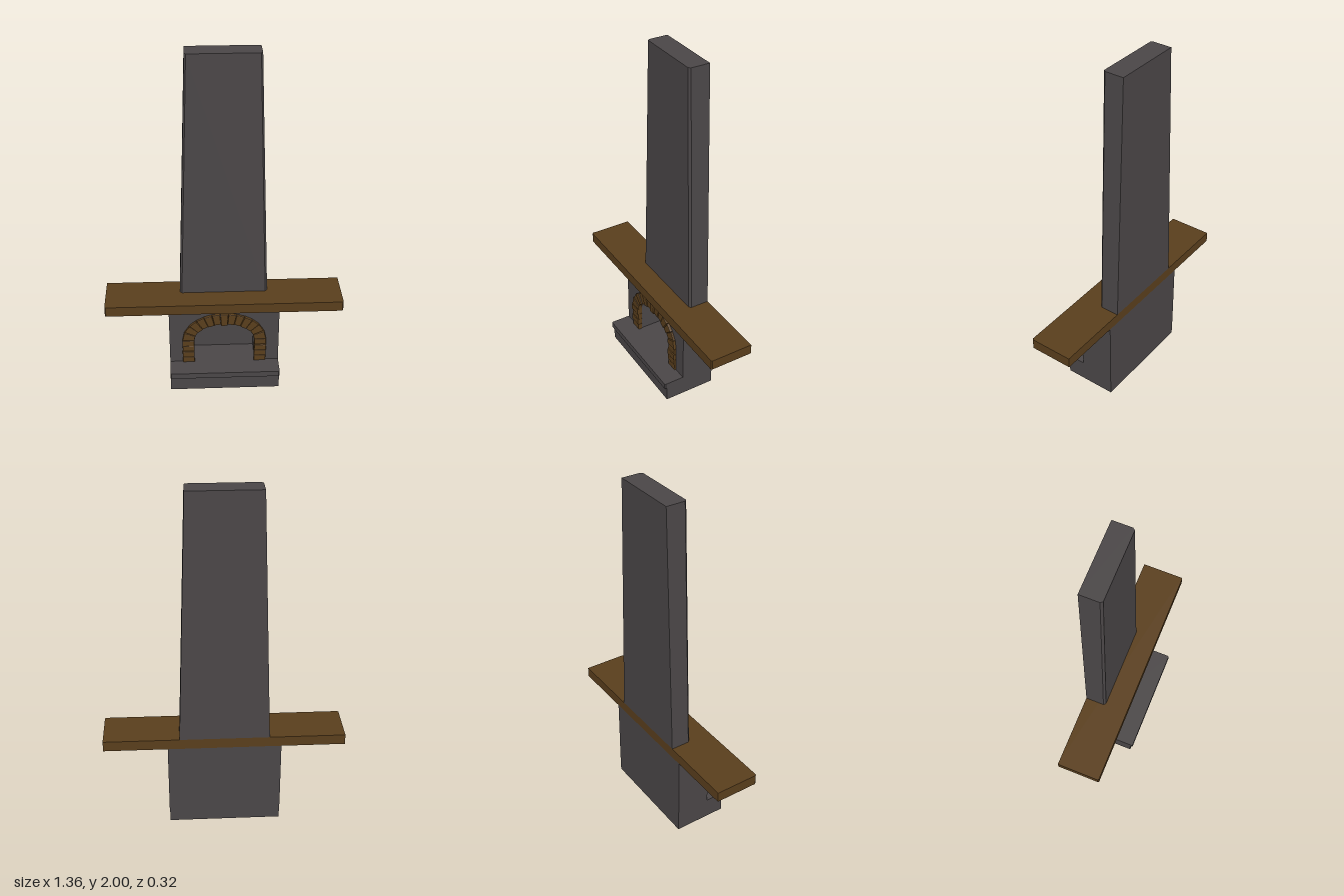
import * as THREE from 'three';

const stone = new THREE.MeshStandardMaterial({ color: 0x4a4647, flatShading: true });
const wood = new THREE.MeshStandardMaterial({ color: 0x593e1c, flatShading: true });
const brick = new THREE.MeshStandardMaterial({ color: 0x593e1c, flatShading: true });

const BACK = -0.16, FACE = 0.04, HEARTH = 0.125;
const SPRING = 0.285, RX = 0.21, RY = 0.145; // centreline of the brick arch

function addMesh(group, name, geometry, material) {
  const mesh = new THREE.Mesh(geometry, material);
  mesh.name = name;
  group.add(mesh);
}

// Slab with chamfered front corners; topScale narrows its upper end in x
function slab(halfWidth, front, y0, y1, chamfer = 0, topScale = 1) {
  const plan = new THREE.Shape();
  plan.moveTo(-halfWidth, -BACK);
  plan.lineTo(-halfWidth, -front + chamfer);
  if (chamfer) plan.lineTo(-halfWidth + chamfer, -front);
  if (chamfer) plan.lineTo(halfWidth - chamfer, -front);
  plan.lineTo(halfWidth, -front + chamfer);
  plan.lineTo(halfWidth, -BACK);
  const geometry = new THREE.ExtrudeGeometry(plan, { depth: y1 - y0, bevelEnabled: false });
  geometry.rotateX(-Math.PI / 2).translate(0, y0, 0);
  const p = geometry.attributes.position;
  for (let i = 0; i < p.count; i++) {
    if (p.getY(i) > (y0 + y1) / 2) p.setX(i, p.getX(i) * topScale);
  }
  geometry.computeVertexNormals();
  return geometry;
}

// Front wall with the arched fire opening cut from its lower edge
function firebox(depth) {
  const wall = new THREE.Shape();
  wall.moveTo(-0.32, HEARTH);
  wall.lineTo(-0.18, HEARTH);
  wall.lineTo(-0.18, SPRING);
  wall.absellipse(0, SPRING, 0.18, 0.115, Math.PI, 0, true);
  wall.lineTo(0.18, HEARTH);
  wall.lineTo(0.32, HEARTH);
  wall.lineTo(0.32, 0.5);
  wall.lineTo(-0.32, 0.5);
  return new THREE.ExtrudeGeometry(wall, { depth, bevelEnabled: false, curveSegments: 16 })
    .translate(0, 0, FACE - depth);
}

// One bevelled brick between two joints, each joint having a point and an outward normal
function brickGeometry(a, b, inner, outer, front) {
  const gap = 0.004, bevel = 0.005;
  const at = (j, k, r) => {
    const p = j.point.clone().addScaledVector(j.normal, r);
    const q = k.point.clone().addScaledVector(k.normal, r);
    return p.lerp(q, gap / p.distanceTo(q) + 0.04);
  };
  const shape = new THREE.Shape([
    at(a, b, inner + bevel), at(a, b, outer - bevel),
    at(b, a, outer - bevel), at(b, a, inner + bevel),
  ]);
  const start = 0.025;
  return new THREE.ExtrudeGeometry(shape, {
    depth: front - start - bevel * 2, bevelSize: bevel, bevelThickness: bevel, bevelSegments: 2,
  }).translate(0, 0, start + bevel);
}

function brickArch() {
  const group = new THREE.Group();
  group.name = 'brickArch';
  const legs = 4, arcs = 13, joints = [];

  // Joints up the right leg, over the arch and down the left leg
  for (let i = 0; i < legs; i++) {
    joints.push({
      point: new THREE.Vector2(RX, HEARTH + (SPRING - HEARTH) * i / legs),
      normal: new THREE.Vector2(1, 0),
    });
  }
  const curve = new THREE.EllipseCurve(0, SPRING, RX, RY, 0, Math.PI);
  for (const point of curve.getSpacedPoints(arcs)) {
    const normal = new THREE.Vector2(point.x / RX ** 2, (point.y - SPRING) / RY ** 2).normalize();
    joints.push({ point, normal });
  }
  for (let i = legs - 1; i >= 0; i--) {
    joints.push({
      point: new THREE.Vector2(-RX, joints[i].point.y),
      normal: new THREE.Vector2(-1, 0),
    });
  }

  // Bricks with slightly uneven faces and a larger keystone
  const count = joints.length - 1;
  for (let i = 0; i < count; i++) {
    const key = i === (count - 1) / 2;
    const uneven = ((i * 7) % 5) / 5;
    const outer = key ? 0.04 : 0.034 + 0.002 * uneven;
    const front = key ? 0.062 : 0.052 + 0.008 * uneven;
    addMesh(group, key ? 'keystone' : 'archBrick',
      brickGeometry(joints[i], joints[i + 1], key ? -0.04 : -0.035, outer, front), brick);
  }
  return group;
}

export function createModel() {
  const model = new THREE.Group();
  model.name = 'fireplace';

  // Hearth
  addMesh(model, 'hearthBase', slab(0.318, 0.145, 0, 0.09), stone);
  addMesh(model, 'hearthSlab', slab(0.32, 0.16, 0.09, HEARTH, 0.006), stone);

  // Fire chamber
  const depth = 0.15;
  addMesh(model, 'fireboxWall', firebox(depth), stone);
  addMesh(model, 'fireboxBack', slab(0.32, FACE - depth, HEARTH, 0.5), stone);
  model.add(brickArch());

  // Mantel and tapering chimney
  addMesh(model, 'mantel', slab(0.68, 0.093, 0.5, 0.56, 0.006), wood);
  addMesh(model, 'chimney', slab(0.253, -0.04, 0.56, 2, 0.012, 0.79), stone);

  return model;
}
